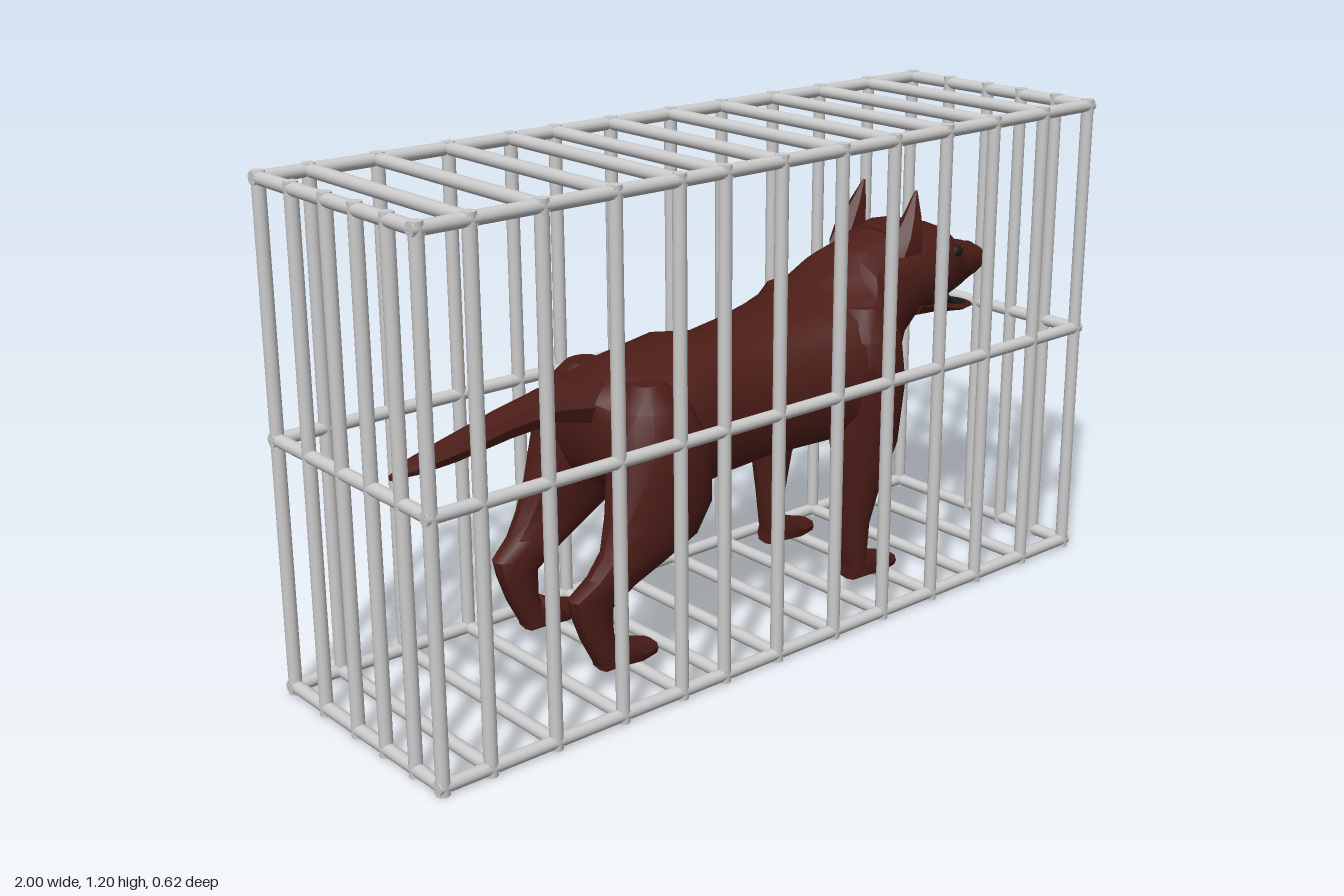
import * as THREE from 'three';
import { toCreasedNormals } from 'three/addons/utils/BufferGeometryUtils.js';

const steel = new THREE.MeshStandardMaterial({ color: 0xcccccc });
const fur = new THREE.MeshStandardMaterial({ color: 0x4d1d18 });
const dark = new THREE.MeshStandardMaterial({ color: 0x1c1c1c });

// Skin a row of rounded rings [x, y, z, radiusU, radiusZ, tilt] and close both ends.
function loft(rings, sides = 12, power = 0.8) {
  const pos = [], idx = [];
  const soft = v => Math.sign(v) * Math.abs(v) ** power;
  for (const [x, y, z, ru, rz, tilt] of rings) {
    for (let j = 0; j < sides; j++) {
      const a = (j / sides) * Math.PI * 2;
      const u = soft(Math.cos(a)) * ru;
      pos.push(x - Math.sin(tilt) * u, y + Math.cos(tilt) * u, z + soft(Math.sin(a)) * rz);
    }
  }
  const last = (rings.length - 1) * sides, c = rings.length * sides;
  for (const r of [rings[0], rings.at(-1)]) pos.push(r[0], r[1], r[2]);
  for (let j = 0; j < sides; j++) {
    const k = (j + 1) % sides;
    for (let i = 0; i < last; i += sides) {
      idx.push(i + j, i + k, i + sides + k, i + j, i + sides + k, i + sides + j);
    }
    idx.push(c, k, j, c + 1, last + j, last + k);
  }
  const g = new THREE.BufferGeometry();
  g.setAttribute('position', new THREE.Float32BufferAttribute(pos, 3));
  g.setIndex(idx);
  return toCreasedNormals(g, 0.7);
}

// Rows [x, top, bottom, halfWidth, z] running toward +x.
const along = rows => rows.map(([x, t, b, w, z = 0]) => [x, (t + b) / 2, z, (t - b) / 2, w, 0]);
// Rows [y, back, front, halfWidth, z] running upward.
const upright = rows => rows.map(([y, b, f, w, z]) => [(b + f) / 2, y, z, (f - b) / 2, w, Math.PI / 2]);

function add(parent, name, geometry, material) {
  const mesh = new THREE.Mesh(geometry, material);
  mesh.name = name;
  parent.add(mesh);
  return mesh;
}

function bar(parent, name, from, to) {
  const a = new THREE.Vector3(...from), d = new THREE.Vector3(...to).sub(a);
  const m = add(parent, name, new THREE.CylinderGeometry(0.0155, 0.0155, d.length(), 14), steel);
  m.position.copy(a).addScaledVector(d, 0.5);
  m.quaternion.setFromUnitVectors(new THREE.Vector3(0, 1, 0), d.normalize());
}

function buildCage() {
  const cage = new THREE.Group();
  cage.name = 'cage';
  const X = 0.985, Z = 0.297, low = 0.018, high = 1.184;
  const xs = [-X, -0.866, -0.697, -0.515, -0.346, -0.22, -0.056, 0.129, 0.295, 0.469, 0.635, 0.815, X];
  const zs = [0.197, 0.083, -0.029, -0.162];
  // Rails around the bottom, middle and top
  for (const y of [low, 0.608, high]) {
    for (const s of [-1, 1]) {
      bar(cage, 'longRail', [-1, y, s * Z], [1, y, s * Z]);
      bar(cage, 'endRail', [s * X, y, -0.31], [s * X, y, 0.31]);
    }
  }
  // Uprights on the long sides, cross bars on floor and roof
  for (const x of xs) {
    for (const s of [-1, 1]) bar(cage, 'sideUpright', [x, 0, s * Z], [x, 1.2, s * Z]);
    if (Math.abs(x) < X) {
      for (const y of [low, high]) bar(cage, 'crossBar', [x, y, -0.31], [x, y, 0.31]);
    }
  }
  // Uprights on the two ends
  for (const z of zs) {
    for (const s of [-1, 1]) bar(cage, 'endUpright', [s * X, 0, z], [s * X, 1.2, z]);
  }
  return cage;
}

function buildDog() {
  const dog = new THREE.Group();
  dog.name = 'dog';

  // Torso running into the tilted neck
  add(dog, 'torso', loft([
    ...along([
      [-0.40, 0.67, 0.50, 0.09], [-0.36, 0.695, 0.44, 0.15], [-0.28, 0.71, 0.39, 0.19],
      [-0.12, 0.74, 0.375, 0.172], [0, 0.72, 0.39, 0.17], [0.12, 0.735, 0.40, 0.183],
      [0.25, 0.755, 0.40, 0.21], [0.33, 0.775, 0.40, 0.228], [0.4, 0.81, 0.43, 0.205],
    ]),
    [0.46, 0.675, 0, 0.175, 0.165, 0.25],
    [0.52, 0.735, 0, 0.14, 0.13, 0.37],
    [0.575, 0.77, 0, 0.125, 0.13, 0.35],
  ], 16), fur);

  add(dog, 'tail', loft(along([
    [-0.89, 0.586, 0.574, 0.006], [-0.83, 0.61, 0.574, 0.024], [-0.74, 0.632, 0.58, 0.033],
    [-0.6, 0.666, 0.6, 0.04], [-0.48, 0.688, 0.61, 0.05], [-0.36, 0.7, 0.58, 0.08],
  ]), 8), fur);

  // Head with the muzzle, open lower jaw and dark mouth
  add(dog, 'head', loft(along([
    [0.54, 0.89, 0.69, 0.115], [0.6, 0.9, 0.67, 0.14], [0.66, 0.895, 0.665, 0.145],
    [0.73, 0.875, 0.69, 0.125], [0.775, 0.828, 0.697, 0.1], [0.81, 0.816, 0.702, 0.085],
    [0.87, 0.804, 0.717, 0.073], [0.907, 0.79, 0.727, 0.053],
  ]), 16), fur);
  add(dog, 'lowerJaw', loft(along([
    [0.62, 0.73, 0.65, 0.1], [0.7, 0.7, 0.65, 0.095], [0.75, 0.675, 0.642, 0.085],
    [0.82, 0.654, 0.63, 0.065], [0.885, 0.642, 0.625, 0.035],
  ])), fur);
  add(dog, 'mouthLining', loft(along([
    [0.68, 0.715, 0.68, 0.088], [0.745, 0.705, 0.665, 0.085],
    [0.76, 0.68, 0.66, 0.075], [0.82, 0.658, 0.645, 0.055], [0.87, 0.646, 0.636, 0.03],
  ])), dark);
  add(dog, 'palate', loft(along([
    [0.73, 0.72, 0.684, 0.085], [0.81, 0.73, 0.699, 0.065], [0.885, 0.74, 0.717, 0.042],
  ])), dark);
  const nose = add(dog, 'nose', new THREE.SphereGeometry(1, 10, 8), dark);
  nose.scale.set(0.014, 0.024, 0.032);
  nose.position.set(0.9, 0.772, 0);

  // Paired parts, mirrored across the body
  for (const s of [-1, 1]) {
    const leg = rows => upright(rows.map(([y, b, f, w, z]) => [y, b, f, w, s * z]));
    const paw = (x, z) => loft(along([
      [x, 0.095, 0.048, 0.03, s * z], [x + 0.045, 0.125, 0.047, 0.037, s * z],
      [x + 0.1, 0.095, 0.047, 0.042, s * z], [x + 0.148, 0.082, 0.05, 0.03, s * z],
    ]), 8, 0.6);

    add(dog, 'frontLeg', loft(leg([
      [0.06, 0.325, 0.39, 0.036, 0.15], [0.1, 0.312, 0.37, 0.034, 0.15],
      [0.2, 0.302, 0.375, 0.039, 0.152], [0.3, 0.295, 0.4, 0.05, 0.158],
      [0.4, 0.275, 0.45, 0.068, 0.158], [0.55, 0.26, 0.475, 0.085, 0.147],
      [0.68, 0.28, 0.46, 0.085, 0.14], [0.75, 0.32, 0.42, 0.06, 0.12],
    ])), fur);
    add(dog, 'frontPaw', paw(0.32, 0.15), fur);

    add(dog, 'hindLeg', loft(leg([
      [0.06, -0.465, -0.39, 0.034, 0.142], [0.13, -0.503, -0.425, 0.03, 0.142],
      [0.2, -0.53, -0.425, 0.032, 0.142], [0.24, -0.54, -0.36, 0.035, 0.145],
      [0.28, -0.49, -0.285, 0.043, 0.153], [0.33, -0.455, -0.195, 0.055, 0.16],
      [0.4, -0.43, -0.15, 0.07, 0.153], [0.54, -0.4, -0.15, 0.085, 0.14],
      [0.64, -0.37, -0.2, 0.075, 0.125], [0.69, -0.33, -0.25, 0.04, 0.11],
    ])), fur);
    add(dog, 'hindPaw', paw(-0.458, 0.142), fur);

    add(dog, 'ear', loft(leg([
      [0.84, 0.485, 0.61, 0.035, 0.1], [0.885, 0.515, 0.605, 0.035, 0.1],
      [0.935, 0.555, 0.602, 0.021, 0.095], [0.99, 0.592, 0.598, 0.003, 0.09],
    ]), 6, 1), fur);

    const eye = add(dog, 'eye', new THREE.SphereGeometry(1, 10, 8), dark);
    eye.scale.set(0.022, 0.016, 0.012);
    eye.position.set(0.722, 0.82, s * 0.117);
  }
  return dog;
}

export function createModel() {
  const model = new THREE.Group();
  model.name = 'cagedDog';
  model.add(buildCage(), buildDog());
  return model;
}
